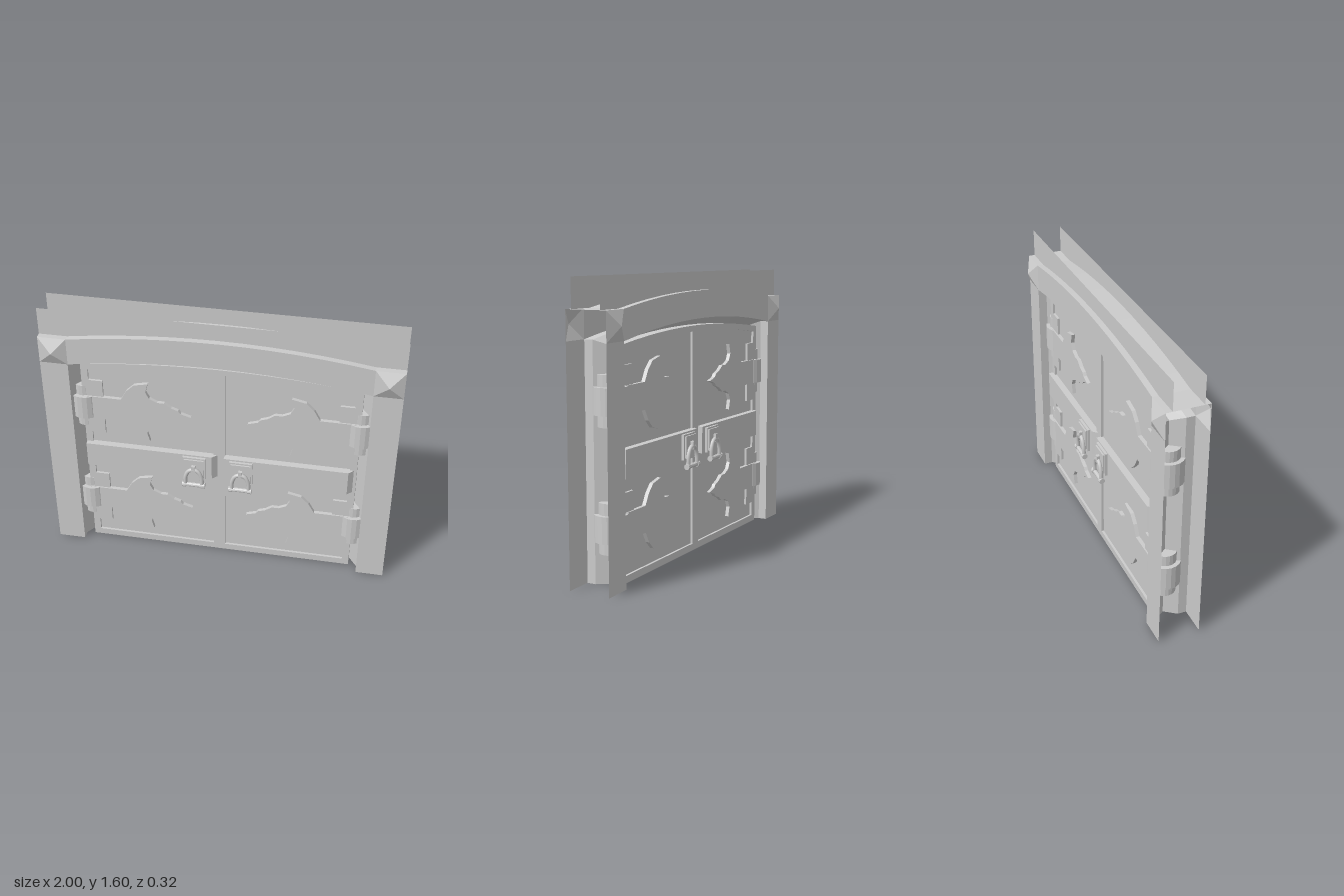
import * as THREE from 'three';

const mat = new THREE.MeshStandardMaterial({ color: 0xcccccc, side: THREE.DoubleSide, flatShading: true });
const smooth = new THREE.MeshStandardMaterial({ color: 0xcccccc, side: THREE.DoubleSide });

function add(parent, name, geometry, x = 0, y = 0, z = 0, material = mat) {
  const mesh = new THREE.Mesh(geometry, material);
  mesh.name = name;
  mesh.position.set(x, y, z);
  parent.add(mesh);
  return mesh;
}

const toShape = (pts) => new THREE.Shape(pts.map(([x, y]) => new THREE.Vector2(x, y)));
const flat = (pts) => new THREE.ShapeGeometry(toShape(pts));
const extrude = (shape, depth) => new THREE.ExtrudeGeometry(shape, { depth, bevelEnabled: false });
const rect = (x0, x1, y0, y1) => [[x0, y0], [x1, y0], [x1, y1], [x0, y1]];

// Shallow arch from -half to +half, as points
function arch(half, top, rise, n = 12) {
  return Array.from({ length: n + 1 }, (_, i) => {
    const t = (i / n) * 2 - 1;
    return [t * half, top - rise * t * t];
  });
}

// Surface joining rows of points, each row with the same count
function loft(rows) {
  const pos = [];
  for (let i = 0; i < rows.length - 1; i++) {
    for (let j = 0; j < rows[i].length - 1; j++) {
      const a = rows[i][j], b = rows[i + 1][j], c = rows[i + 1][j + 1], d = rows[i][j + 1];
      pos.push(...a, ...b, ...c, ...a, ...c, ...d);
    }
  }
  const g = new THREE.BufferGeometry();
  g.setAttribute('position', new THREE.Float32BufferAttribute(pos, 3));
  g.computeVertexNormals();
  return g;
}

const outer = arch(0.84, 1.35, 0.07);   // opening edge
const inner = arch(0.79, 1.305, 0.053); // door edge
const crown = arch(0.84, 1.505, 0.065); // top of the arch stones
const hingeY = [0.305, 0.97];

// Recessed door panel outline, stepped around the hinge pads (s mirrors it)
function panelOutline(s) {
  const pts = [[0.035, 0.04], [0.75, 0.04]];
  for (const y of hingeY) {
    pts.push([0.75, y - 0.18], [0.67, y - 0.18], [0.67, y + 0.18], [0.75, y + 0.18]);
  }
  for (let i = 0; i <= 6; i++) {
    const x = 0.75 - (0.715 * i) / 6;
    pts.push([x, 1.272 - 0.052 * (x / 0.75) ** 2]);
  }
  return pts.map(([x, y]) => [x * s, y]);
}

// Upper half of the ornamental strap, from the hinge to the point
const strapHalf = [[0.79, 0.074], [0.565, 0.074], [0.53, 0.136], [0.485, 0.18], [0.405, 0.198],
  [0.42, 0.14], [0.4, 0.1], [0.355, 0.078], [0.315, 0.078], [0.275, 0.05], [0.235, 0.036], [0.22, 0.018]];
const strapOutline = (s) => [...strapHalf, [0.163, 0], ...strapHalf.map(([x, y]) => [x, -y]).reverse()]
  .map(([x, y]) => [x * s, y]);

// Plate with a hanging ring and a thick bottom bar
function makeLock() {
  const g = new THREE.Group();
  g.name = 'lock';
  add(g, 'lockPlate', new THREE.BoxGeometry(0.136, 0.145, 0.02), 0, 0.638, 0.095);
  add(g, 'lockPlateFace', new THREE.BoxGeometry(0.116, 0.125, 0.012), 0, 0.638, 0.108);
  const curve = new THREE.CatmullRomCurve3([[-0.05, 0.535], [-0.046, 0.59], [-0.028, 0.628], [0, 0.64],
    [0.028, 0.628], [0.046, 0.59], [0.05, 0.535]].map(([x, y]) => new THREE.Vector3(x, y, 0.122)));
  add(g, 'lockRing', new THREE.TubeGeometry(curve, 20, 0.012, 8), 0, 0, 0, smooth);
  add(g, 'ringBar', new THREE.CylinderGeometry(0.013, 0.013, 0.11, 10), 0, 0.53, 0.122).rotation.z = Math.PI / 2;
  for (const s of [-1, 1]) {
    add(g, 'ringKnob', new THREE.CylinderGeometry(0.017, 0.017, 0.022, 10), s * 0.056, 0.53, 0.122)
      .rotation.z = Math.PI / 2;
  }
  add(g, 'ringHook', new THREE.BoxGeometry(0.022, 0.045, 0.025), 0, 0.645, 0.12);
  return g;
}

// Everything seen on one face of the gate
function makeFace(name) {
  const g = new THREE.Group();
  g.name = name;

  // Masonry sheets
  add(g, 'archFace', flat([...outer, ...[...crown].reverse()]), 0, 0, 0.12);
  add(g, 'upperWall', flat([[-1, 1.44], ...crown, [1, 1.44], [1, 1.6], [-1, 1.6]]), 0, 0, 0.085);
  for (const s of [-1, 1]) {
    add(g, 'pillar', new THREE.PlaneGeometry(0.16, 1.28), s * 0.92, 0.64, 0.12);
    const stud = new THREE.ConeGeometry(0.08 * Math.SQRT2, 0.038, 4, 1, true);
    stud.rotateY(Math.PI / 4).rotateX(Math.PI / 2);
    add(g, 'cornerStud', stud, s * 0.92, 1.36, 0.139);
  }

  // Raised door frame around two sunken panels
  const frame = toShape([[-0.79, 0], [0.79, 0], ...[...inner].reverse()]);
  for (const s of [-1, 1]) {
    frame.holes.push(new THREE.Path(panelOutline(s).map(([x, y]) => new THREE.Vector2(x, y))));
  }
  add(g, 'doorFrame', extrude(frame, 0.014), 0, 0, 0.048);

  // Hinge straps
  for (const s of [-1, 1]) {
    for (const y of hingeY) add(g, 'hingeStrap', extrude(toShape(strapOutline(s)), 0.022), 0, y, 0.048);
  }

  // Cross bars, each with one bevelled end
  for (const [x0, x1] of [[-0.785, -0.01], [0.03, 0.775]]) {
    const bar = extrude(toShape([[x0, -0.05], [x1, -0.05], [x1, -0.06], [x1 - 0.03, -0.09], [x0, -0.09]]), 0.155);
    bar.rotateX(-Math.PI / 2);
    add(g, 'crossBar', bar, 0, 0.565, 0);
  }

  for (const x of [-0.142, 0.132]) {
    const lock = makeLock();
    lock.position.x = x;
    g.add(lock);
  }
  return g;
}

export function createModel() {
  const model = new THREE.Group();
  model.name = 'archedGate';

  model.add(makeFace('frontFace'));
  const back = makeFace('backFace');
  back.rotation.y = Math.PI;
  model.add(back);

  // Door core
  add(model, 'doorSlab', extrude(toShape([[-0.79, 0], [0.79, 0], ...[...inner].reverse()]), 0.096), 0, 0, -0.048);

  // Reveal around the opening, with a wedge-shaped middle
  const outPath = [[-0.84, 0], ...outer, [0.84, 0]];
  const inPath = [[-0.79, 0], ...inner, [0.79, 0]];
  add(model, 'openingReveal', loft(outPath.map(([x, y], i) => {
    const [u, v] = inPath[i];
    return [[x, y, 0.12], [x, y, 0.07], [u, v, 0], [x, y, -0.07], [x, y, -0.12]];
  })));

  // Ledge on top of the arch
  add(model, 'archLedge', loft([[-1, 1.44], ...crown, [1, 1.44]].map(([x, y]) => [[x, y, -0.12], [x, y, 0.12]])));

  // Hinge barrels
  for (const s of [-1, 1]) {
    for (const y of hingeY) {
      add(model, 'hingeBarrel', new THREE.CylinderGeometry(0.09, 0.09, 0.145, 20), s * 0.79, y, 0);
      add(model, 'hingePin', new THREE.CylinderGeometry(0.066, 0.066, 0.272, 20), s * 0.79, y, 0);
    }
  }
  return model;
}
